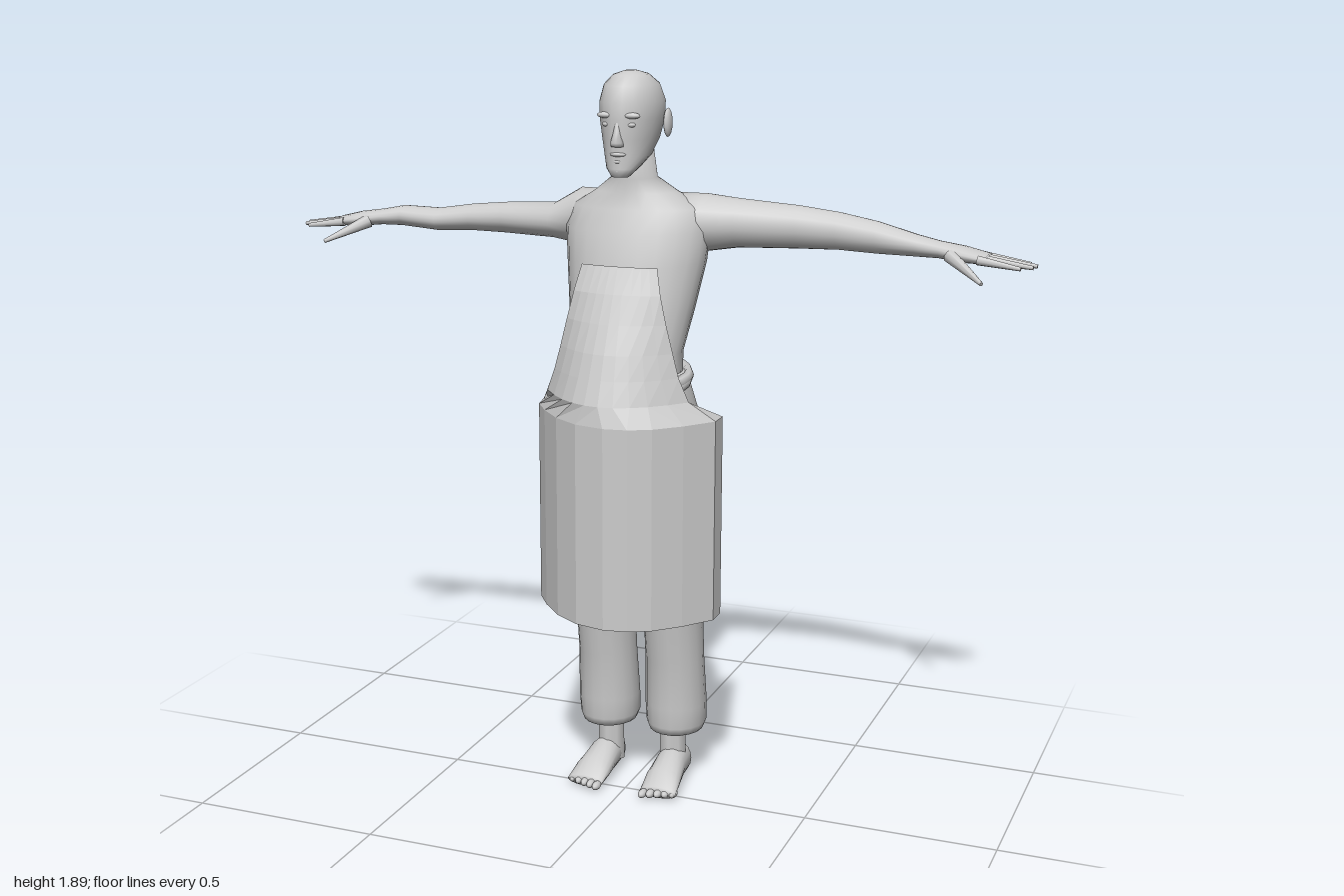
import * as THREE from 'three';

const grey = new THREE.MeshStandardMaterial({ color: 0xcccccc, side: THREE.DoubleSide });
grey.name = 'plainGrey';

function add(parent, name, geometry) {
  const mesh = new THREE.Mesh(geometry, grey);
  mesh.name = name;
  parent.add(mesh);
  return mesh;
}

// Closed loft of ellipses along an axis; ring = [position, centreU, centreV, radiusU, radiusV]
// (u, v) is (x, z) along y, (y, z) along x, and (x, y) along z.
function loft(axis, rings, n = 18) {
  const pos = [], index = [];
  const put = (t, u, v) => pos.push(...(axis === 'y' ? [u, t, v] : axis === 'x' ? [t, u, v] : [u, v, t]));
  for (const [t, u, v, ru, rv] of rings) {
    for (let i = 0; i < n; i++) {
      const a = (i / n) * Math.PI * 2;
      put(t, u + ru * Math.cos(a), v + rv * Math.sin(a));
    }
  }
  const last = rings.length - 1;
  put(...rings[0].slice(0, 3));
  put(...rings[last].slice(0, 3));
  const flip = (axis !== 'y') !== (rings[last][0] < rings[0][0]);
  const tri = (a, b, c) => index.push(...(flip ? [a, c, b] : [a, b, c]));
  const start = rings.length * n;
  for (let i = 0; i < n; i++) {
    const j = (i + 1) % n;
    for (let r = 0; r < last; r++) {
      const a = r * n + i, b = r * n + j;
      tri(a, a + n, b);
      tri(b, a + n, b + n);
    }
    tri(start, i, j);
    tri(start + 1, last * n + j, last * n + i);
  }
  const g = new THREE.BufferGeometry();
  g.setAttribute('position', new THREE.Float32BufferAttribute(pos, 3));
  g.setIndex(index);
  g.computeVertexNormals();
  return g;
}

// Faceted sheet through rows of points
function sheet(rows) {
  const n = rows[0].length, index = [];
  for (let r = 0; r < rows.length - 1; r++) {
    for (let i = 0; i < n - 1; i++) {
      const a = r * n + i, b = a + n;
      index.push(a, b, a + 1, a + 1, b, b + 1);
    }
  }
  let g = new THREE.BufferGeometry();
  g.setAttribute('position', new THREE.Float32BufferAttribute(rows.flat(2), 3));
  g.setIndex(index);
  g = g.toNonIndexed();
  g.computeVertexNormals();
  return g;
}

// Tapered rod between two points
function rod(from, to, r0, r1) {
  const a = new THREE.Vector3(...from), b = new THREE.Vector3(...to);
  const d = b.clone().sub(a);
  const g = new THREE.CylinderGeometry(r1, r0, d.length(), 8);
  g.applyQuaternion(new THREE.Quaternion().setFromUnitVectors(new THREE.Vector3(0, 1, 0), d.normalize()));
  return g.translate(...a.add(b).multiplyScalar(0.5).toArray());
}

function ball(x, y, z, sx, sy, sz) {
  return new THREE.SphereGeometry(1, 12, 8).scale(sx, sy, sz).translate(x, y, z);
}

function buildHead(parent) {
  const head = new THREE.Group();
  head.name = 'head';
  parent.add(head);
  add(head, 'skull', loft('y', [
    [1.64, 0, 0.033, 0.022, 0.02], [1.66, 0, 0.017, 0.04, 0.04], [1.69, 0, -0.02, 0.056, 0.075],
    [1.73, 0, -0.042, 0.067, 0.1], [1.78, 0, -0.05, 0.077, 0.11], [1.82, 0, -0.05, 0.078, 0.108],
    [1.86, 0, -0.045, 0.066, 0.09], [1.884, 0, -0.04, 0.042, 0.056], [1.893, 0, -0.038, 0.015, 0.02]]));
  add(head, 'nose', loft('y', [
    [1.715, 0, 0.05, 0.017, 0.016], [1.725, 0, 0.055, 0.016, 0.02], [1.75, 0, 0.05, 0.01, 0.015],
    [1.785, 0, 0.045, 0.007, 0.01]], 10));
  add(head, 'upperLip', ball(0, 1.696, 0.046, 0.022, 0.007, 0.014));
  add(head, 'lowerLip', ball(0, 1.678, 0.044, 0.018, 0.007, 0.013));
  add(head, 'chin', ball(0, 1.655, 0.036, 0.024, 0.015, 0.02));
  for (const s of [1, -1]) {
    add(head, 'brow', ball(s * 0.033, 1.79, 0.044, 0.024, 0.008, 0.012));
    add(head, 'eye', ball(s * 0.03, 1.768, 0.042, 0.014, 0.007, 0.009));
    add(head, 'ear', ball(s * 0.082, 1.765, -0.08, 0.01, 0.036, 0.02).rotateZ(0));
  }
}

function buildArm(parent, s) {
  const arm = new THREE.Group();
  arm.name = s > 0 ? 'leftArm' : 'rightArm';
  parent.add(arm);
  const rings = [
    [0.08, 1.51, -0.11, 0.08, 0.085], [0.17, 1.515, -0.13, 0.073, 0.08], [0.25, 1.515, -0.15, 0.062, 0.062],
    [0.4, 1.51, -0.17, 0.054, 0.049], [0.5, 1.505, -0.175, 0.047, 0.045], [0.6, 1.495, -0.17, 0.04, 0.04],
    [0.7, 1.483, -0.16, 0.027, 0.036], [0.76, 1.477, -0.155, 0.021, 0.032], [0.82, 1.47, -0.15, 0.02, 0.043],
    [0.88, 1.462, -0.15, 0.013, 0.045]];
  // The right arm hangs a little lower and thinner
  add(arm, 'armAndPalm', loft('x', rings.map(([x, y, z, ry, rz]) => {
    const low = s < 0 && x > 0.2 && x < 0.65;
    return [s * x, low ? y - 0.018 : y, z, low ? ry * 0.75 : ry, rz];
  })));
  for (let i = 0; i < 4; i++) {
    const z = -0.185 + i * 0.024;
    const tip = [0.975, 0.995, 0.99, 0.965][i];
    add(arm, 'finger', rod([s * 0.86, 1.463, z], [s * tip, 1.449, z - 0.005 + i * 0.004], 0.012, 0.005));
  }
  add(arm, 'thumb', rod([s * 0.79, 1.468, -0.125], [s * 0.885, 1.418, -0.045], 0.018, 0.005));
}

function buildLeg(parent, s) {
  const leg = new THREE.Group();
  leg.name = s > 0 ? 'leftLeg' : 'rightLeg';
  parent.add(leg);
  const x = s * 0.096;
  add(leg, 'trouserLeg', loft('y', [
    [0.145, x, -0.135, 0.072, 0.08], [0.165, x, -0.135, 0.08, 0.087], [0.22, x, -0.13, 0.082, 0.085],
    [0.35, x, -0.118, 0.078, 0.08], [0.55, x, -0.095, 0.077, 0.096], [0.75, x, -0.08, 0.081, 0.11],
    [0.9, x, -0.07, 0.086, 0.115], [0.98, x, -0.07, 0.08, 0.105]]));
  add(leg, 'ankle', rod([s * 0.09, 0.03, -0.125], [s * 0.088, 0.2, -0.122], 0.038, 0.036));
  add(leg, 'foot', loft('z', [
    [-0.19, x, 0.03, 0.022, 0.026], [-0.155, x, 0.045, 0.036, 0.045], [-0.09, x, 0.046, 0.042, 0.046],
    [-0.02, x + s * 0.004, 0.032, 0.049, 0.031], [0.03, x + s * 0.008, 0.017, 0.05, 0.015]]));
  for (let i = 0; i < 5; i++) {
    add(leg, 'toe', ball(x + s * (-0.03 + i * 0.019), 0.014, 0.042 - i * 0.007, 0.011, 0.011, 0.02));
  }
}

function buildApron(parent) {
  const arc = [[-0.235, -0.02], [-0.222, 0.04], [-0.18, 0.1], [-0.12, 0.165], [-0.05, 0.21], [0.03, 0.228],
    [0.09, 0.218], [0.145, 0.19], [0.205, 0.13], [0.262, 0.055], [0.262, 0]];
  // Bib rows: [height, half width, centre z, sweep back at the sides]
  const bib = [[1.425, 0.1, 0.08, 0.01], [1.36, 0.115, 0.112, 0.025], [1.29, 0.132, 0.142, 0.05],
    [1.22, 0.15, 0.172, 0.08], [1.16, 0.166, 0.193, 0.1], [1.1, 0.19, 0.215, 0.13]]
    .map(([y, w, z, d]) => arc.map((_, i) => {
      const t = (i / (arc.length - 1)) * 2 - 1;
      return [0.012 + w * t, y, z - d * t * t];
    }));
  const ring = (y) => arc.map(([x, z]) => [x, y, z]);
  add(parent, 'apronBib', sheet([...bib, ring(1.05)]));
  add(parent, 'apronSkirt', sheet([ring(1.05), ring(0.53)]));
}

export function createModel() {
  const model = new THREE.Group();
  model.name = 'manInApron';

  // Bare torso and neck
  add(model, 'torso', loft('y', [
    [1.05, 0, -0.02, 0.15, 0.11], [1.12, 0, -0.012, 0.145, 0.115], [1.2, 0, -0.02, 0.143, 0.115],
    [1.3, 0, -0.045, 0.163, 0.125], [1.42, 0, -0.08, 0.182, 0.135], [1.5, 0, -0.09, 0.19, 0.127],
    [1.555, 0, -0.095, 0.172, 0.105], [1.595, 0, -0.08, 0.105, 0.083], [1.63, 0, -0.063, 0.058, 0.062],
    [1.71, 0, -0.05, 0.052, 0.055]], 24));
  buildHead(model);

  // Seat of the trousers
  add(model, 'trouserSeat', loft('y', [
    [0.83, 0, -0.075, 0.1, 0.07], [0.88, 0, -0.068, 0.165, 0.108], [0.97, 0, -0.06, 0.18, 0.125],
    [1.05, 0, -0.04, 0.176, 0.13], [1.11, 0, -0.018, 0.166, 0.128], [1.15, 0, -0.015, 0.154, 0.12]], 24));
  // Crumpled waistband, higher at the back
  for (const [y, tilt, roll] of [[1.125, 0.2, 0.03], [1.145, 0.12, -0.06]]) {
    const band = add(model, 'waistband', new THREE.TorusGeometry(0.157, 0.013, 6, 24)
      .scale(1.02, 0.83, 1.3).rotateX(Math.PI / 2));
    band.position.set(0, y, -0.012);
    band.rotation.set(tilt, 0, roll);
  }
  add(model, 'waistFold', rod([-0.165, 1.17, 0.02], [-0.192, 1.06, 0.03], 0.01, 0.02));

  for (const s of [1, -1]) {
    buildArm(model, s);
    buildLeg(model, s);
  }
  buildApron(model);
  return model;
}
